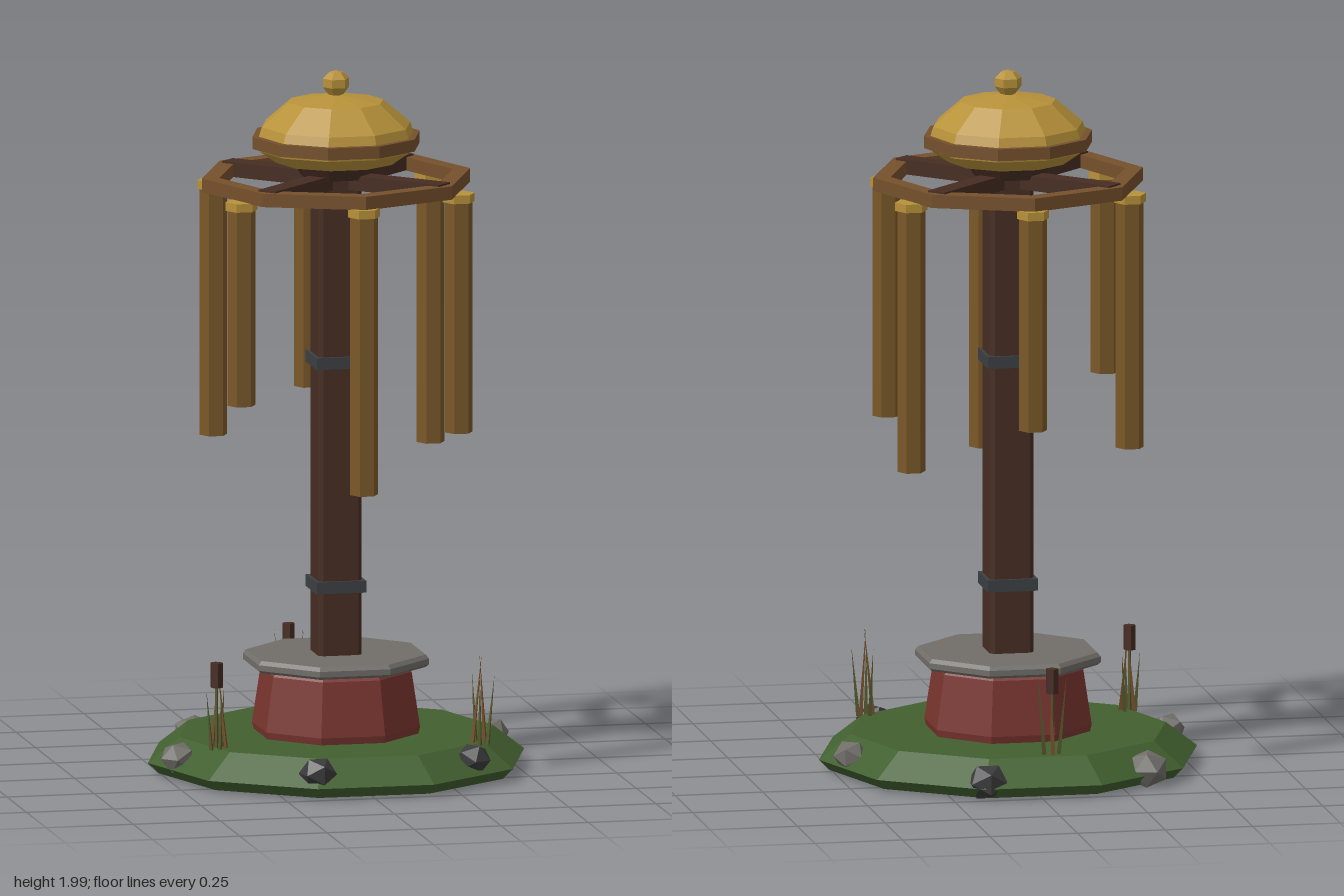
import * as THREE from 'three';

const mat = (name, color) => new THREE.MeshStandardMaterial({ name, color });

export function createModel() {
  const M = {
    grass: mat('grass', 0x426030),
    brick: mat('brick', 0x7a352f),
    stone: mat('stone', 0x716e69),
    darkWood: mat('dark wood', 0x472d23),
    wood: mat('wood', 0x75502c),
    bamboo: mat('bamboo', 0x7a5829),
    gold: mat('gold', 0xb8923a),
    iron: mat('iron', 0x3c4043),
    reed: mat('reed', 0x56592e),
    darkRock: mat('dark rock', 0x3a3a3c),
  };
  const model = new THREE.Group();
  model.name = 'windChimePost';

  // faceted mesh: split vertices so every face is flat
  const add = (name, geo, material, parent = model) => {
    const g = geo.index ? geo.toNonIndexed() : geo;
    g.computeVertexNormals();
    const mesh = new THREE.Mesh(g, material);
    mesh.name = name;
    parent.add(mesh);
    return mesh;
  };
  // faceted solid of revolution from [radius, height] pairs, bottom to top
  const turned = (name, profile, sides, turn, material, parent) => {
    const pts = profile.map(([r, y]) => new THREE.Vector2(r, y));
    return add(name, new THREE.LatheGeometry(pts, sides).rotateY(turn), material, parent);
  };
  const TEN = Math.PI / 10, EIGHT = Math.PI / 8, SIX = Math.PI / 6;

  // ground and pedestal
  turned('ground', [[0, 0.02], [0.51, 0.02], [0.54, 0.05], [0.45, 0.12], [0, 0.12]], 10, TEN, M.grass);
  turned('pedestal', [[0, 0.11], [0.232, 0.11], [0.239, 0.14], [0.215, 0.295], [0.2, 0.312], [0, 0.312]], 8, EIGHT, M.brick);
  turned('pedestalSlab', [[0, 0.31], [0.255, 0.31], [0.265, 0.318], [0.265, 0.334], [0.255, 0.345], [0, 0.345]], 8, EIGHT, M.stone);

  // square post with chamfered corners
  const h = 0.0625, c = 0.05;
  const section = new THREE.Shape([[h, -c], [h, c], [c, h], [-c, h], [-h, c], [-h, -c], [-c, -h], [c, -h]]
    .map(([x, y]) => new THREE.Vector2(x, y)));
  add('post', new THREE.ExtrudeGeometry(section, { depth: 1.37, bevelEnabled: false })
    .rotateX(-Math.PI / 2).translate(0, 0.34, 0), M.darkWood);
  for (const y of [0.54, 1.178]) {
    add('postBand', new THREE.BoxGeometry(0.142, 0.034, 0.142).translate(0, y, 0), M.iron);
  }

  // crossed beams and the octagonal hanging frame
  for (const a of [Math.PI / 4, -Math.PI / 4]) {
    add('crossBeam', new THREE.BoxGeometry(0.72, 0.042, 0.057).rotateY(a).translate(0, 1.69, 0), M.darkWood);
  }
  turned('hangingFrame', [[0.335, 1.668], [0.385, 1.668], [0.385, 1.706], [0.335, 1.706], [0.335, 1.668]], 8, 0, M.wood);

  // domed cap
  turned('capSupport', [[0, 1.7], [0.1, 1.7], [0.13, 1.745], [0, 1.745]], 8, EIGHT, M.darkWood);
  turned('dome', [[0, 1.737], [0.17, 1.742], [0.22, 1.777], [0.226, 1.805], [0.213, 1.845],
    [0.135, 1.912], [0, 1.932]], 10, TEN, M.gold);
  turned('domeRim', [[0.2, 1.785], [0.24, 1.785], [0.24, 1.819], [0.2, 1.819], [0.2, 1.785]], 10, TEN, M.wood);
  turned('finial', [[0, 1.925], [0.022, 1.932], [0.038, 1.953], [0.038, 1.977], [0.021, 1.994], [0, 2]], 6, SIX, M.gold);

  // six hanging chimes, going round from the front
  [0.855, 0.99, 0.9, 1.04, 0.945, 1.09].forEach((bottom, i) => {
    const a = i * Math.PI / 3;
    const chime = new THREE.Group();
    chime.name = 'chime';
    chime.position.set(0.36 * Math.sin(a), 0, 0.36 * Math.cos(a));
    model.add(chime);
    turned('chimeTube', [[0, bottom], [0.04, bottom], [0.04, 1.66], [0, 1.66]], 6, SIX, M.bamboo, chime);
    turned('chimeCap', [[0, 1.645], [0.046, 1.645], [0.046, 1.669], [0, 1.669]], 6, SIX, M.gold, chime);
  });

  // rocks around the rim: x, y, z, radius, material
  [
    [0.15, 0.062, -0.465, 0.06, M.darkRock], [-0.325, 0.062, -0.365, 0.062, M.stone],
    [0.47, 0.08, -0.105, 0.05, M.stone], [-0.475, 0.08, 0.1, 0.052, M.stone],
    [0.315, 0.088, 0.35, 0.052, M.darkRock], [-0.155, 0.085, 0.46, 0.054, M.darkRock],
  ].forEach(([x, y, z, r, material], i) => {
    const rock = add('rock', new THREE.IcosahedronGeometry(r, 0).scale(1, 0.9, 1), material);
    rock.position.set(x, y, z);
    rock.rotation.y = i * 1.3;
  });

  // reed clumps: x, z, whether it carries a seed head
  [[-0.38, 0.19, true], [0.355, 0.265, false], [-0.045, -0.385, true]].forEach(([x, z, head], n) => {
    const clump = new THREE.Group();
    clump.name = 'reedClump';
    clump.position.set(x, 0.115, z);
    model.add(clump);
    for (let i = 0; i < 5; i++) {
      const a = i * Math.PI * 0.4 + n;
      const len = 0.17 + 0.09 * ((i * 2 + n) % 4) / 3;
      const blade = add('reedBlade', new THREE.ConeGeometry(0.007, len, 3).translate(0, len / 2, 0),
        i % 2 ? M.wood : M.reed, clump);
      blade.position.set(0.022 * Math.sin(a), 0, 0.022 * Math.cos(a));
      const lean = i % 2 ? -0.1 : 0.1;
      blade.rotation.set(lean * Math.cos(a), 0, -lean * Math.sin(a));
    }
    if (head) {
      add('reedStem', new THREE.CylinderGeometry(0.004, 0.005, 0.2, 4).translate(-0.005, 0.1, 0), M.reed, clump);
      add('seedHead', new THREE.CylinderGeometry(0.018, 0.018, 0.07, 6).translate(-0.005, 0.212, 0), M.darkWood, clump);
    }
  });

  return model;
}
